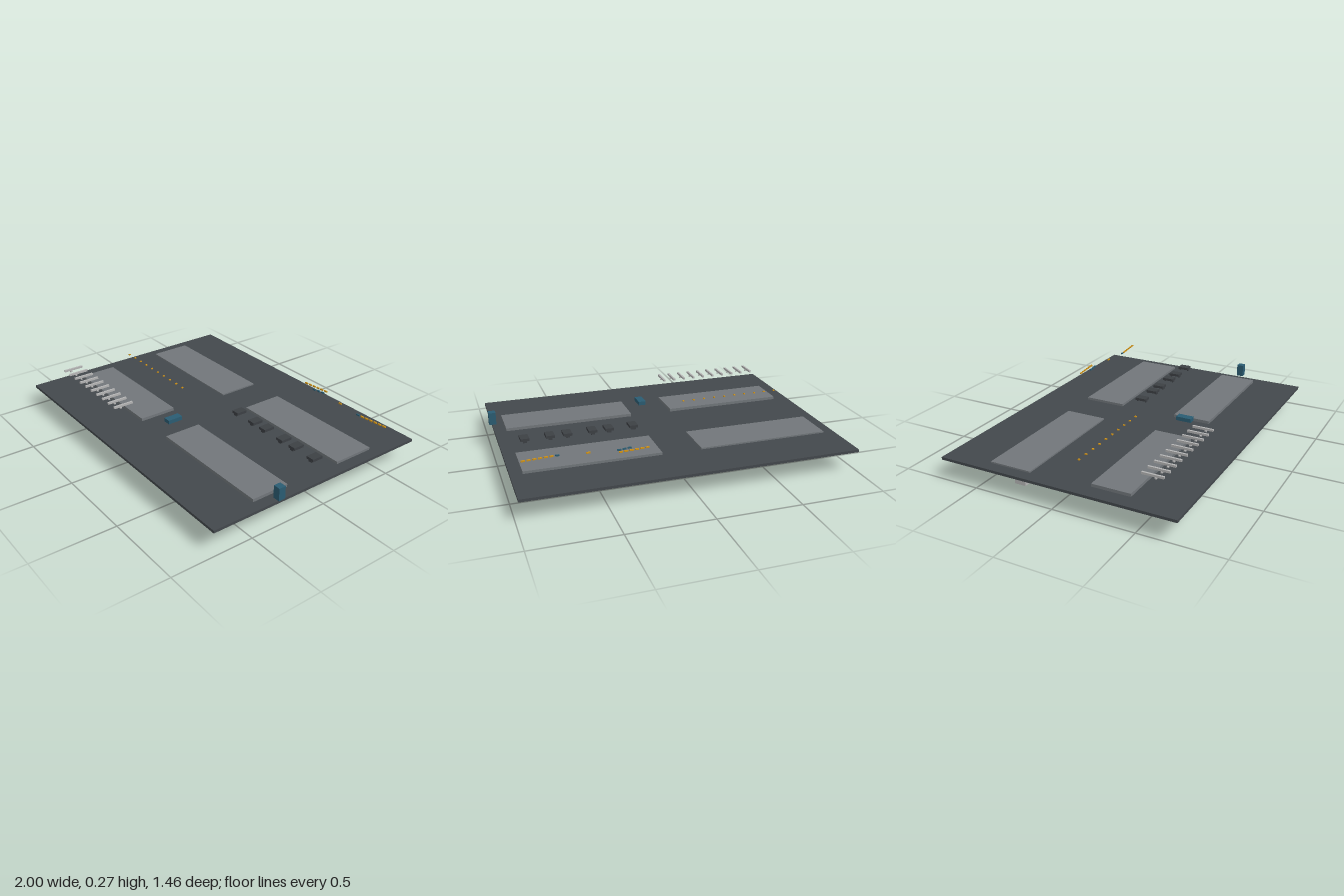
import * as THREE from 'three';

const paint = (name, color) => {
  const m = new THREE.MeshStandardMaterial({ color });
  m.name = name;
  return m;
};

export function createModel() {
  const group = new THREE.Group();
  const slate = paint('slate grey', 0x43484c);
  const grey = paint('mid grey', 0x71767a);
  const charcoal = paint('charcoal', 0x3c4044);
  const light = paint('light grey', 0xb4b4b4);
  const teal = paint('teal', 0x2a5c72);
  const amber = paint('amber', 0xcf9218);

  // Box given by its limits on each axis
  const box = (name, mat, x0, x1, y0, y1, z0, z1) => {
    const mesh = new THREE.Mesh(new THREE.BoxGeometry(x1 - x0, y1 - y0, z1 - z0), mat);
    mesh.position.set((x0 + x1) / 2, (y0 + y1) / 2, (z0 + z1) / 2);
    mesh.name = name;
    group.add(mesh);
    return mesh;
  };

  // Ground slab and the two posts under it
  box('baseSlab', slate, -1, 0.98, 0.123, 0.139, -0.73, 0.73);
  for (const x of [-0.836, -0.22]) box('post', light, x - 0.019, x + 0.019, 0, 0.123, -0.342, -0.27);

  // Four raised platforms
  box('backLeftPlatform', grey, 0.11, 0.91, 0.139, 0.154, -0.44, -0.18);
  box('backRightPlatform', grey, -0.93, -0.13, 0.139, 0.148, -0.44, -0.18);
  box('frontLeftPlatform', grey, 0.11, 0.91, 0.139, 0.157, 0.19, 0.425);
  box('frontRightPlatform', grey, -0.905, -0.155, 0.139, 0.157, 0.19, 0.425);

  // Two counters
  box('lowCounter', teal, -0.01, 0.037, 0.18, 0.204, 0.258, 0.355);
  box('tallCounter', teal, 0.957, 1, 0.154, 0.231, 0.285, 0.328);

  // Row of benches with a foot at each end
  for (const x of [0.179, 0.331, 0.433, 0.586, 0.69, 0.84]) {
    box('benchSeat', charcoal, x - 0.026, x + 0.026, 0.183, 0.199, -0.106, -0.036);
    for (const z of [-0.1, -0.042])
      box('benchFoot', charcoal, x - 0.012, x + 0.012, 0.172, 0.183, z - 0.004, z + 0.004);
  }

  // Row of hanging bars, each with a small clip and a lamp behind it
  for (let i = 0; i < 10; i++) {
    const x = -0.845 + i * 0.0707;
    box('bar', light, x - 0.006, x + 0.006, 0.253, 0.266, 0.455, 0.583);
    box('barClip', light, x - 0.005, x + 0.005, 0.242, 0.248, 0.53, 0.542);
    box('lamp', amber, x - 0.005, x + 0.005, 0.242, 0.248, 0.078, 0.09);
  }

  // Slanting rows of small floating tags: start x, z, count, z step, material
  const tagRows = [
    [0.24, -0.57, 6, -0.003, amber],
    [0.335, -0.545, 3, -0.006, teal],
    [0.565, -0.54, 1, 0, amber],
    [0.73, -0.522, 1, 0, teal],
    [0.762, -0.523, 6, -0.003, amber],
  ];
  for (const [x, z, count, dz, mat] of tagRows)
    for (let i = 0; i < count; i++) {
      const cx = x + i * 0.031, cz = z + i * dz;
      box('tag', mat, cx - 0.011, cx + 0.011, 0.256, 0.264, cz - 0.004, cz + 0.004);
    }

  return group;
}
